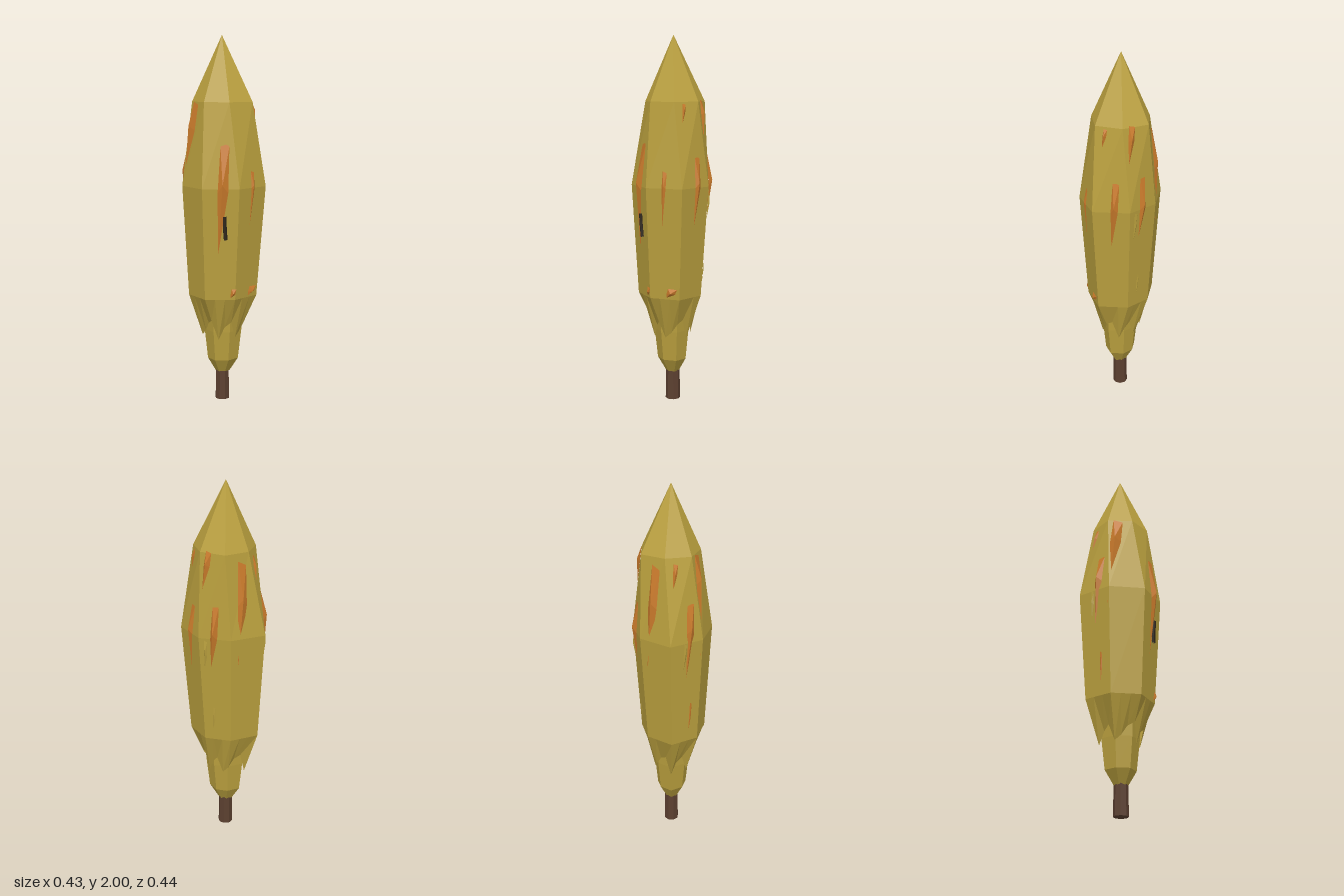
import * as THREE from 'three';

const material = (name, color, extra = {}) => {
  const m = new THREE.MeshStandardMaterial({ color, flatShading: true, side: THREE.DoubleSide, ...extra });
  m.name = name;
  return m;
};

// Seven-sided outlines as [x, z]
const WIDE = [[-0.105, -0.22], [0.09, -0.188], [0.206, -0.055], [0.192, 0.143], [0.003, 0.218], [-0.177, 0.138], [-0.212, -0.054]];
const SHOULDER = [[-0.04, -0.154], [0.1, -0.147], [0.166, -0.015], [0.12, 0.125], [-0.025, 0.15], [-0.136, 0.07], [-0.148, -0.065]];
const ring = (outline, y, scale = 1, dx = 0) => outline.map(([x, z]) => new THREE.Vector3(x * scale + dx, y, z * scale));
const point = (y, z = 0) => Array.from({ length: 7 }, () => new THREE.Vector3(0, y, z));

function geometryFrom(points) {
  const g = new THREE.BufferGeometry().setFromPoints(points);
  g.computeVertexNormals();
  return g;
}

// Joins rings, listed from the bottom up, with flat faces
function loft(rings) {
  const out = [];
  for (let r = 0; r + 1 < rings.length; r++) {
    const lo = rings[r], up = rings[r + 1], n = lo.length;
    for (let i = 0; i < n; i++) {
      const j = (i + 1) % n;
      out.push(lo[j], lo[i], up[i], lo[j], up[i], up[j]);
    }
  }
  return geometryFrom(out);
}

const CROWN = [ring(WIDE, 0.44, 0.5), ring(WIDE, 0.6, 0.82, -0.006), ring(WIDE, 1.2), ring(SHOULDER, 1.65), point(2, -0.005)];

// Point on the crown surface at a heading (measured from +z towards +x) and height
function onCrown(angle, y, lift = 0) {
  let k = 0;
  while (k < CROWN.length - 2 && y > CROWN[k + 1][0].y) k++;
  const t = (y - CROWN[k][0].y) / (CROWN[k + 1][0].y - CROWN[k][0].y);
  const pts = CROWN[k].map((p, i) => p.clone().lerp(CROWN[k + 1][i], t));
  const sx = Math.sin(angle), sz = Math.cos(angle);
  let radius = 0;
  pts.forEach((a, i) => {
    const b = pts[(i + 1) % 7];
    const ca = a.x * sz - a.z * sx, cb = b.x * sz - b.z * sx;
    if (ca * cb > 0 || ca === cb) return;
    const p = a.clone().lerp(b, ca / (ca - cb));
    radius = Math.max(radius, p.x * sx + p.z * sz);
  });
  return new THREE.Vector3(sx * (radius + lift), y, sz * (radius + lift));
}

// Long leaf flake: flat upper blade with a raised ridge and a tail running down
function flake([x, z, top, mid, bottom, width, lift]) {
  const a = Math.atan2(x, z), half = width / 2 / Math.hypot(x, z);
  const tl = onCrown(a - half * 0.7, top, 0.004), tr = onCrown(a + half * 0.8, top - (top - mid) * 0.1, 0.004);
  const left = onCrown(a - half, mid, 0.003), right = onCrown(a + half * 0.5, mid, 0.003);
  const ridge = onCrown(a - half * 0.3, mid + (top - mid) * 0.15, lift);
  const tail = onCrown(a - half, bottom, 0.003);
  const edge = [tl, left, tail, right, tr];
  return geometryFrom(edge.flatMap((p, i) => [p, edge[(i + 1) % 5], ridge]));
}

export function createModel() {
  const group = new THREE.Group();
  const leaf = material('olive leaf', 0xbaa03e);
  const orange = material('orange leaf', 0xc97a2b);
  const bark = material('brown bark', 0x5c4030);
  const dark = material('dark twig', 0x2e261c);
  const add = (name, geometry, mat) => {
    const mesh = new THREE.Mesh(geometry, mat);
    mesh.name = name;
    group.add(mesh);
    return mesh;
  };

  // Trunk
  add('trunk', new THREE.CylinderGeometry(0.038, 0.04, 0.18, 8), bark).position.y = 0.09;

  // Tall faceted crown
  add('crown', loft(CROWN.slice(1)), leaf);

  // Narrow lower foliage
  add('lowerFoliage', loft([point(0.16), ring(WIDE, 0.16, 0.17), ring(WIDE, 0.235, 0.37),
    ring(WIDE, 0.4, 0.45), ring(WIDE, 0.5, 0.47)]), leaf);

  // Ragged skirt under the crown
  const drops = [0.36, 0.46, 0.4, 0.47, 0.43, 0.37, 0.45];
  const upper = [], lower = [];
  for (let i = 0; i < 21; i++) {
    const k = Math.floor(i / 3), t = (i % 3) / 3;
    const at = (r) => r[k].clone().lerp(r[(k + 1) % 7], t);
    const y = drops[(i * 3) % 7];
    upper.push(at(CROWN[1]));
    const p = at(ring(WIDE, y, 0.5 + Math.max(0, y - 0.44) * 1.8));
    lower.push(p);
  }
  add('raggedSkirt', loft([lower, upper]), leaf);

  // Autumn flakes: x, z, top, middle, bottom, width, lift
  [
    [-0.07, 0.19, 1.45, 1.18, 0.85, 0.075, 0.022],
    [0.1, 0.18, 1.29, 1.2, 1.0, 0.03, 0.012],
    [0.205, 0.022, 1.37, 1.2, 0.99, 0.05, 0.02],
    [0.15, -0.125, 1.4, 1.2, 1.04, 0.05, 0.025],
    [0.153, -0.065, 1.66, 1.58, 1.46, 0.045, 0.02],
    [0.148, 0.075, 1.64, 1.6, 1.54, 0.025, 0.015],
    [0.01, -0.2, 1.61, 1.38, 1.05, 0.075, 0.022],
    [-0.175, -0.11, 1.42, 1.25, 1.0, 0.06, 0.025],
    [-0.155, -0.01, 1.65, 1.5, 1.1, 0.07, 0.025],
    [-0.09, -0.13, 1.62, 1.56, 1.48, 0.03, 0.015],
    [0.11, 0.13, 0.66, 0.63, 0.61, 0.06, 0.018],
    [-0.012, 0.17, 0.66, 0.63, 0.61, 0.03, 0.014],
    [-0.17, -0.1, 0.84, 0.74, 0.67, 0.015, 0.006],
  ].forEach((f) => add('autumnFlake', flake(f), orange));

  // Thin leaf slivers on the sides
  [
    [0.17, -0.08, 1.19, 1.1, 1.03, 0.02, 0.014],
    [0.14, -0.1, 0.8, 0.72, 0.67, 0.015, 0.007],
    [-0.15, -0.14, 1.2, 1.12, 1.04, 0.02, 0.012],
  ].forEach((f) => add('leafSliver', flake(f), leaf));

  // Small dark twig on the front
  const heading = Math.atan2(-0.062, 0.18);
  const path = [[0.93, -0.01], [1.0, 0.02], [1.055, 0.02]].map(([y, d]) => onCrown(heading - d, y, 0.004));
  add('darkTwig', new THREE.TubeGeometry(new THREE.CatmullRomCurve3(path), 3, 0.011, 5), dark);

  return group;
}
